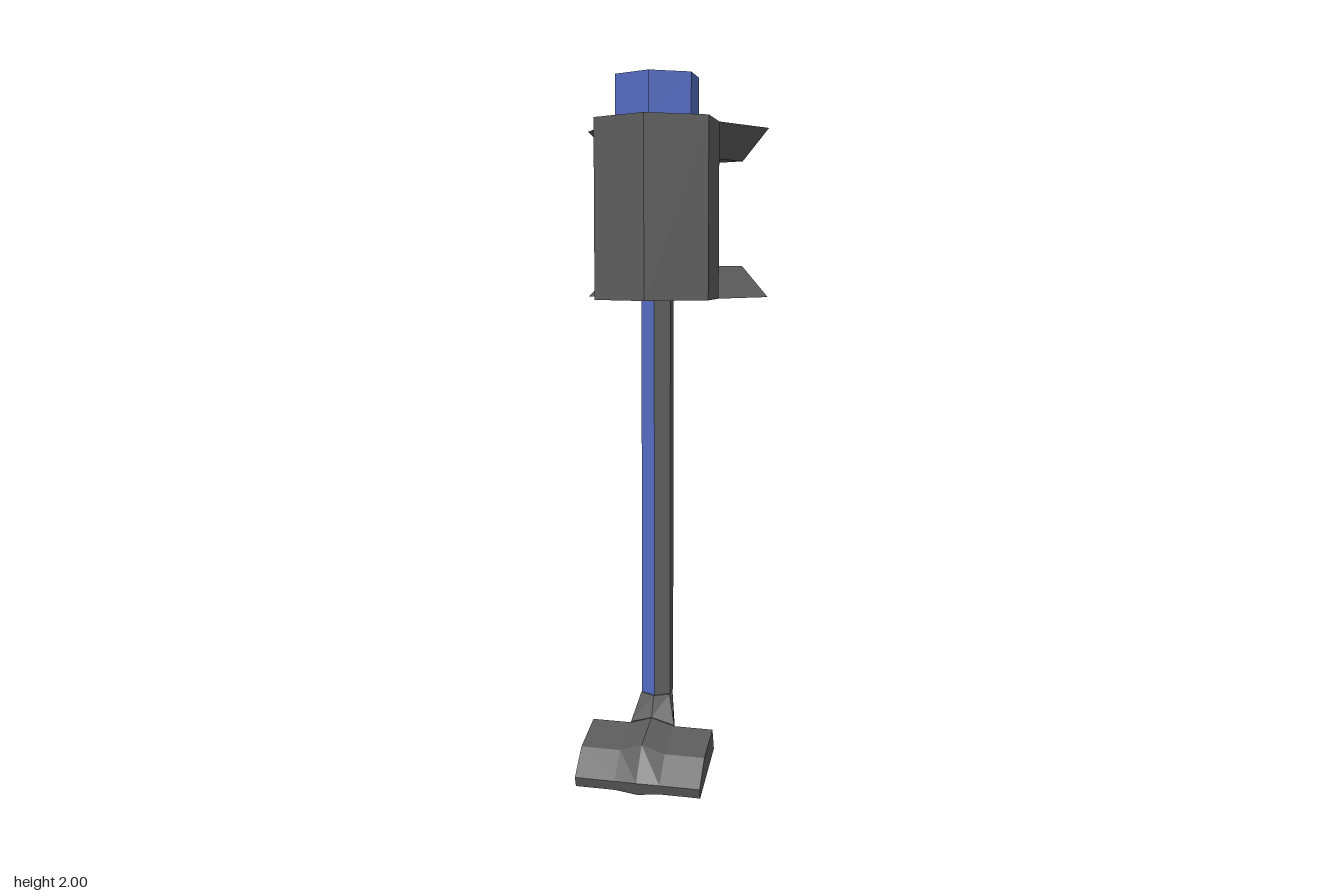
import * as THREE from 'three';

const dark = new THREE.MeshStandardMaterial({ color: 0x5c5c5c, flatShading: true });
const blue = new THREE.MeshStandardMaterial({ color: 0x526abf, flatShading: true });

function addMesh(parent, name, geometry, material, y = 0) {
  const mesh = new THREE.Mesh(geometry, material);
  mesh.name = name;
  mesh.position.y = y;
  parent.add(mesh);
  return mesh;
}

// Closed skin over matching rings of [x, y, z] points, with fan caps at both ends
function loft(rings) {
  const n = rings[0].length, out = [];
  const tri = (a, b, c) => out.push(...a, ...b, ...c);
  for (let s = 0; s < rings.length - 1; s++) {
    const a = rings[s], b = rings[s + 1];
    for (let i = 0; i < n; i++) {
      const j = (i + 1) % n;
      tri(a[i], a[j], b[j]);
      tri(a[i], b[j], b[i]);
    }
  }
  const first = rings[0], last = rings[rings.length - 1];
  for (let i = 1; i < n - 1; i++) {
    tri(first[0], first[i + 1], first[i]);
    tri(last[0], last[i], last[i + 1]);
  }
  const geometry = new THREE.BufferGeometry();
  geometry.setAttribute('position', new THREE.Float32BufferAttribute(out, 3));
  geometry.computeVertexNormals();
  return geometry;
}

export function createModel() {
  const model = new THREE.Group();
  model.name = 'hexTool';

  // Leaning upper assembly; its origin is the centre of the body's top face
  const upper = new THREE.Group();
  upper.name = 'leaningAssembly';
  upper.position.set(0.003, 1.867, -0.005);
  const twist = new THREE.Quaternion().setFromAxisAngle(new THREE.Vector3(0, 1, 0), 0.035);
  upper.quaternion
    .setFromUnitVectors(new THREE.Vector3(0, 1, 0), new THREE.Vector3(-0.026, 1, -0.105).normalize())
    .multiply(twist);
  model.add(upper);

  // Hexagonal body and cap
  const bodyLength = 0.513, capHeight = 0.122;
  addMesh(upper, 'body', new THREE.CylinderGeometry(0.19, 0.19, bodyLength, 6), dark, -bodyLength / 2);
  addMesh(upper, 'cap', new THREE.CylinderGeometry(0.126, 0.126, capHeight, 6), blue, capHeight / 2);

  // Pointed jaws, bevelled towards each other
  const wide = [[0.164, -0.095], [0.284, -0.31]];
  const narrow = [[0.077, -0.145], [0.197, -0.36]];
  const outline = ([base, corner], y) => [
    [0, y, -0.1], [base[0], y, base[1]], [corner[0], y, corner[1]],
    [0, y, -0.472], [-corner[0], y, corner[1]], [-base[0], y, base[1]],
  ];
  const jaw = 0.095;
  addMesh(upper, 'upperJaw', loft([outline(narrow, -jaw), outline(wide, 0)]), dark);
  addMesh(upper, 'lowerJaw', loft([outline(wide, -bodyLength), outline(narrow, jaw - bodyLength)]), dark);

  // Hexagonal shaft, one half of its faces dark and the other blue
  const shaftLength = 1.682 - bodyLength, r = 0.049;
  [['shaftLeftHalf', 0, dark], ['shaftRightHalf', Math.PI, blue]].forEach(([name, start, material]) =>
    addMesh(upper, name, new THREE.CylinderGeometry(r, r, shaftLength, 3, 1, true, start, Math.PI),
      material, -bodyLength - shaftLength / 2));

  // Foot group shares the twist of the shaft
  const foot = new THREE.Group();
  foot.name = 'footAssembly';
  foot.position.x = 0.039;
  foot.rotation.y = 0.035;
  model.add(foot);

  // Ankle bends from the end of the shaft into the foot
  const shaftEnd = [];
  for (let i = 0; i < 6; i++) {
    const a = i * Math.PI / 3, z = r * Math.cos(a);
    shaftEnd.push([r * Math.sin(a), 0.195 + 0.105 * z, 0.175 + z]);
  }
  const ankleBase = [
    [0, 0.145, 0.255], [0.065, 0.12, 0.242], [0.065, 0.045, 0.212],
    [0, 0.045, 0.207], [-0.065, 0.045, 0.212], [-0.065, 0.12, 0.242],
  ];
  addMesh(foot, 'ankle', loft([ankleBase, shaftEnd]), dark);

  // Wedge foot: flat wings with a raised central ridge
  const wing = x => [[x, 0.042, 0.212], [x, 0.117, 0.242], [x, 0.098, 0.385], [x, 0.04, 0.462], [x, 0.008, 0.452]];
  const ridge = [[0, 0.042, 0.207], [0, 0.144, 0.256], [0, 0.125, 0.395], [0, 0.045, 0.472], [0, 0.004, 0.46]];
  addMesh(foot, 'foot', loft([wing(-0.18), wing(-0.065), ridge, wing(0.065), wing(0.18)]), dark);

  return model;
}
